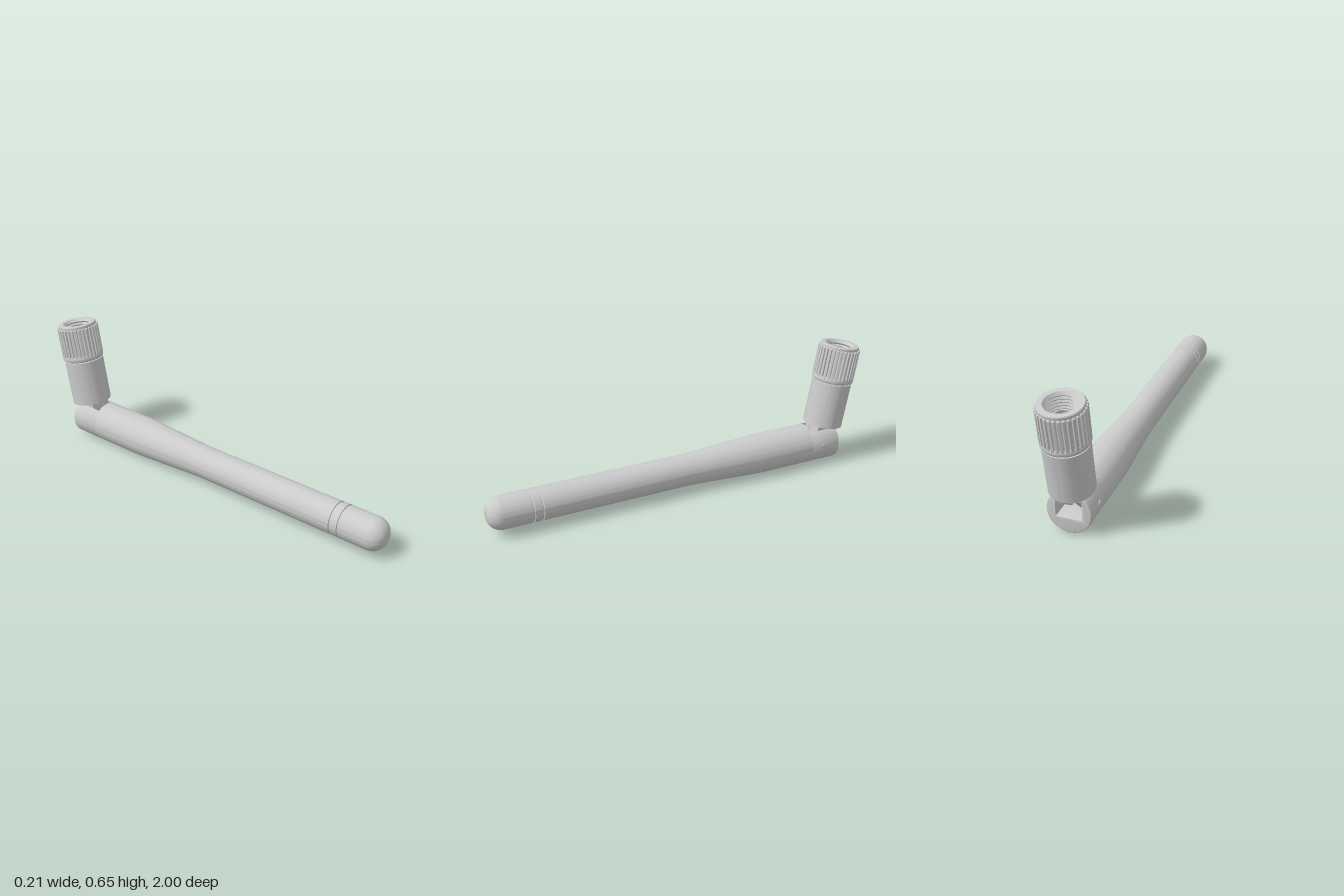
import * as THREE from 'three';
import { toCreasedNormals } from 'three/addons/utils/BufferGeometryUtils.js';

const mat = new THREE.MeshStandardMaterial({ color: 0xcccccc });
const V = (x, y) => new THREE.Vector2(x, y);

function add(parent, name, geometry) {
  const mesh = new THREE.Mesh(toCreasedNormals(geometry, 0.5), mat);
  mesh.name = name;
  parent.add(mesh);
  return mesh;
}

const lathe = (pts) => new THREE.LatheGeometry(pts.map(([r, y]) => V(r, y)), 72);

export function createModel() {
  const model = new THREE.Group();
  model.name = 'antenna';
  const R = 0.102, slotHalf = 0.058, slotFront = -0.71;

  // Body: tapered rod with two thin grooves and a rounded tip, lying along z
  const body = [[0, slotFront], [R, slotFront], [R, -0.42], [0.1, -0.38], [0.083, -0.07], [0.081, -0.02]];
  for (const z of [0.742, 0.785]) {
    body.push([0.081, z], [0.076, z + 0.002], [0.076, z + 0.01], [0.081, z + 0.012]);
  }
  for (let i = 0; i <= 12; i++) {
    const a = (i / 12) * Math.PI / 2;
    body.push([i === 12 ? 0 : 0.009 + 0.072 * Math.cos(a), 0.928 + 0.072 * Math.sin(a)]);
  }
  add(model, 'body', lathe(body).rotateX(Math.PI / 2)).position.y = 0.103;

  // Rear of the body, open at the top and back for the hinge
  const a = Math.acos(slotHalf / R);
  const yoke = new THREE.Shape();
  yoke.absarc(0, 0, R, a, Math.PI - a, true);
  yoke.lineTo(-slotHalf, -0.028);
  yoke.lineTo(slotHalf, -0.028);
  yoke.closePath();
  const bevel = 0.006;
  add(model, 'hingeYoke', new THREE.ExtrudeGeometry(yoke, {
    depth: 0.155, curveSegments: 56, bevelThickness: bevel, bevelSize: bevel,
    bevelOffset: -bevel, bevelSegments: 3,
  })).position.set(0, 0.103, -0.86);

  // Hinge pin across the yoke
  add(model, 'hingePin', new THREE.CylinderGeometry(0.014, 0.014, 0.207, 24).rotateZ(Math.PI / 2))
    .position.set(0, 0.112, -0.77);

  // Connector, leaning back by ten degrees
  const connector = new THREE.Group();
  connector.name = 'connector';
  connector.position.set(0, 0.203, -0.82);
  connector.rotation.x = -Math.PI / 18;
  model.add(connector);

  add(connector, 'sleeve', lathe([[0, 0], [R, 0], [R, 0.236], [0.09, 0.238], [0.09, 0.25], [0, 0.25]]));

  // Nut: collar, lip and threaded bore
  const nut = [[0.08, 0.24], [0.1, 0.24], [0.104, 0.243], [0.107, 0.25], [0.107, 0.262], [0.105, 0.268],
    [0.099, 0.274], [0.099, 0.43], [0.096, 0.434], [0.073, 0.434], [0.068, 0.428]];
  for (let y = 0.42; y > 0.27; y -= 0.016) nut.push([0.062, y], [0.069, y - 0.008]);
  nut.push([0.069, 0.25], [0, 0.25]);
  add(connector, 'nut', lathe(nut));

  // Grip ridges round the nut
  const grip = new THREE.Shape();
  const teeth = 32;
  for (let i = 0; i < teeth; i++) {
    [[0, 0.099], [0.16, 0.1], [0.3, 0.107], [0.58, 0.1075], [0.86, 0.107]].forEach(([f, r], k) => {
      const t = ((i + f) / teeth) * Math.PI * 2;
      grip[i + k ? 'lineTo' : 'moveTo'](r * Math.cos(t), r * Math.sin(t));
    });
  }
  grip.closePath();
  grip.holes.push(new THREE.Path().absarc(0, 0, 0.09, 0, Math.PI * 2, true));
  add(connector, 'gripRidges', new THREE.ExtrudeGeometry(grip, {
    depth: 0.15, curveSegments: 32, bevelThickness: 0.004, bevelSize: 0.003, bevelOffset: -0.003, bevelSegments: 1,
  }).rotateX(-Math.PI / 2)).position.y = 0.265;

  // Inner barrel with a small socket in its end
  add(connector, 'innerBarrel', lathe([[0.049, 0.25], [0.049, 0.362], [0.046, 0.366], [0.04, 0.366],
    [0.04, 0.345], [0.007, 0.345], [0.007, 0.3], [0, 0.3]]));

  // Hinge tongue: two cheeks narrowing to the pin, joined by a web
  const cheek = new THREE.Shape();
  cheek.moveTo(-0.05, 0.005);
  cheek.lineTo(-0.05, -0.035);
  cheek.lineTo(0.008, -0.12);
  cheek.absarc(0.03, -0.098, 0.031, Math.PI * 1.25, Math.PI * 2, false);
  cheek.lineTo(0.061, 0.005);
  cheek.closePath();
  const cheekWidth = 0.034;
  for (const side of [-1, 1]) {
    const g = new THREE.ExtrudeGeometry(cheek, { depth: cheekWidth, bevelEnabled: false, curveSegments: 16 });
    g.translate(0, 0, -cheekWidth / 2).rotateY(-Math.PI / 2);
    add(connector, side > 0 ? 'leftCheek' : 'rightCheek', g).position.x = side * (0.056 - cheekWidth / 2);
  }
  add(connector, 'tongueWeb', new THREE.BoxGeometry(0.05, 0.1, 0.03)).position.set(0, -0.045, 0.044);
  add(connector, 'tongueRoot', new THREE.BoxGeometry(0.05, 0.03, 0.1)).position.set(0, -0.01, 0.005);

  return model;
}
